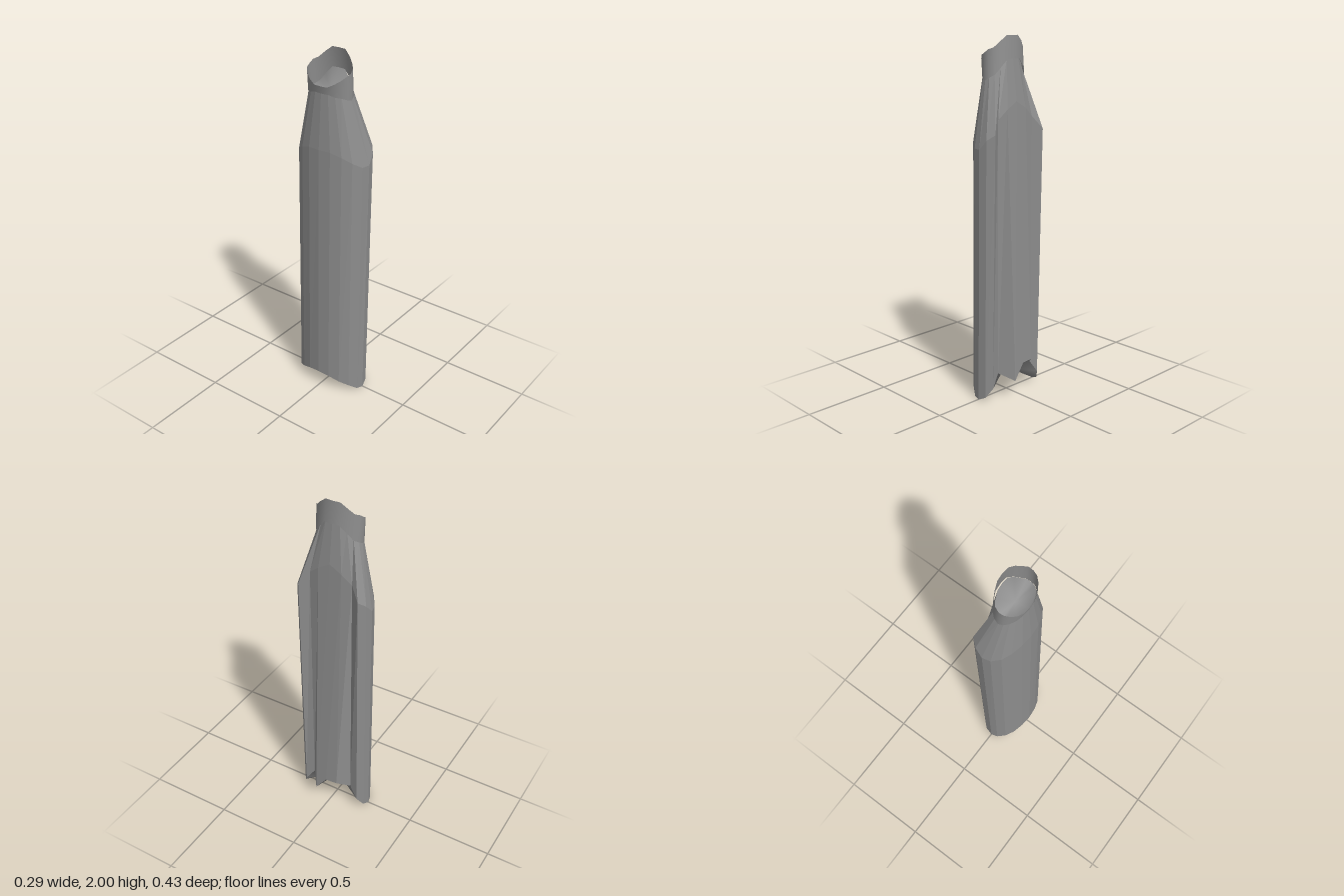
import * as THREE from 'three';

// Half cross-sections, from the closed back (-x) round +z to the middle of the inner panel (+x)
const HEM = [[-0.145, 0.1, 0], [-0.137, 0.09, 0.068], [-0.117, 0.065, 0.128], [-0.085, 0.04, 0.175],
  [-0.04, 0.005, 0.205], [0, 0, 0.215], [0.045, 0.02, 0.205], [0.077, 0.075, 0.176],
  [0.065, 0.15, 0.125], [0.142, 0.11, 0.066], [0.138, 0.2, 0]];
const SHOULDER = [[-0.125, 1.5, 0], [-0.119, 1.5, 0.068], [-0.1, 1.48, 0.128], [-0.07, 1.45, 0.175],
  [-0.025, 1.42, 0.206], [0.022, 1.42, 0.217], [0.067, 1.47, 0.207], [0.103, 1.5, 0.177],
  [0.07, 1.57, 0.125], [0.08, 1.62, 0.068], [0.08, 1.66, 0]];
const COLLAR_TOP = [1.84, 1.84, 1.86, 1.88, 1.9, 1.91, 1.93, 1.94, 1.97, 2, 2];
const COLLAR_BASE = [1.8, 1.8, 1.79, 1.785, 1.775, 1.77, 1.785, 1.8, 1.84, 1.88, 1.88];

// Complete a half section by mirroring it across z
const fullRing = (half) => [...half, ...half.slice(1, -1).reverse().map(([x, y, z]) => [x, y, -z])];

// Elliptical half section with a height for each point
const ellipse = (cx, rx, rz, heights, lift = 0) => heights.map((y, i) => {
  const a = (i / 10) * Math.PI;
  return [cx - rx * Math.cos(a), y + lift, rz * Math.sin(a)];
});

function toGeometry(points, index, flat) {
  let g = new THREE.BufferGeometry();
  g.setAttribute('position', new THREE.Float32BufferAttribute(points.flat(), 3));
  g.setIndex(index);
  if (flat) g = g.toNonIndexed();
  g.computeVertexNormals();
  return g;
}

// Skin between closed rings listed from bottom to top
function loft(rings, flat) {
  const n = rings[0].length, index = [];
  for (let r = 0; r < rings.length - 1; r++) {
    for (let i = 0; i < n; i++) {
      const a = r * n + i, b = r * n + (i + 1) % n;
      index.push(a, b, b + n, a, b + n, a + n);
    }
  }
  return toGeometry(rings.flat(), index, flat);
}

// Fan closing a ring, facing up or down
function cap(ring, centre, up) {
  const n = ring.length, index = [];
  for (let i = 0; i < n; i++) {
    const j = (i + 1) % n;
    index.push(n, up ? i : j, up ? j : i);
  }
  return toGeometry([...ring, centre], index, false);
}

export function createModel() {
  const model = new THREE.Group();
  const cloth = new THREE.MeshStandardMaterial({ color: 0x8c8c8c, side: THREE.DoubleSide });
  cloth.name = 'greyCloth';
  const add = (name, geometry) => {
    const mesh = new THREE.Mesh(geometry, cloth);
    mesh.name = name;
    model.add(mesh);
  };

  // Hem: the inner panel is cut higher on its -z corner
  const hem = fullRing(HEM);
  hem[11] = [0.133, 0.2, -0.068];
  const neck = fullRing(ellipse(-0.025, 0.076, 0.126, COLLAR_BASE, 0.015));

  // Draped body with two flaps and a recessed panel
  add('body', loft([hem, fullRing(SHOULDER), neck], true));
  add('hemLining', cap(hem, [-0.01, 0.13, 0], false));
  add('neckLining', cap(neck, [-0.025, 1.79, 0], true));

  // Slanted open collar
  const collarBase = fullRing(ellipse(-0.021, 0.082, 0.133, COLLAR_BASE));
  const collarTop = fullRing(ellipse(-0.03, 0.08, 0.132, COLLAR_TOP));
  add('collar', loft([collarBase, collarTop], false));

  return model;
}
